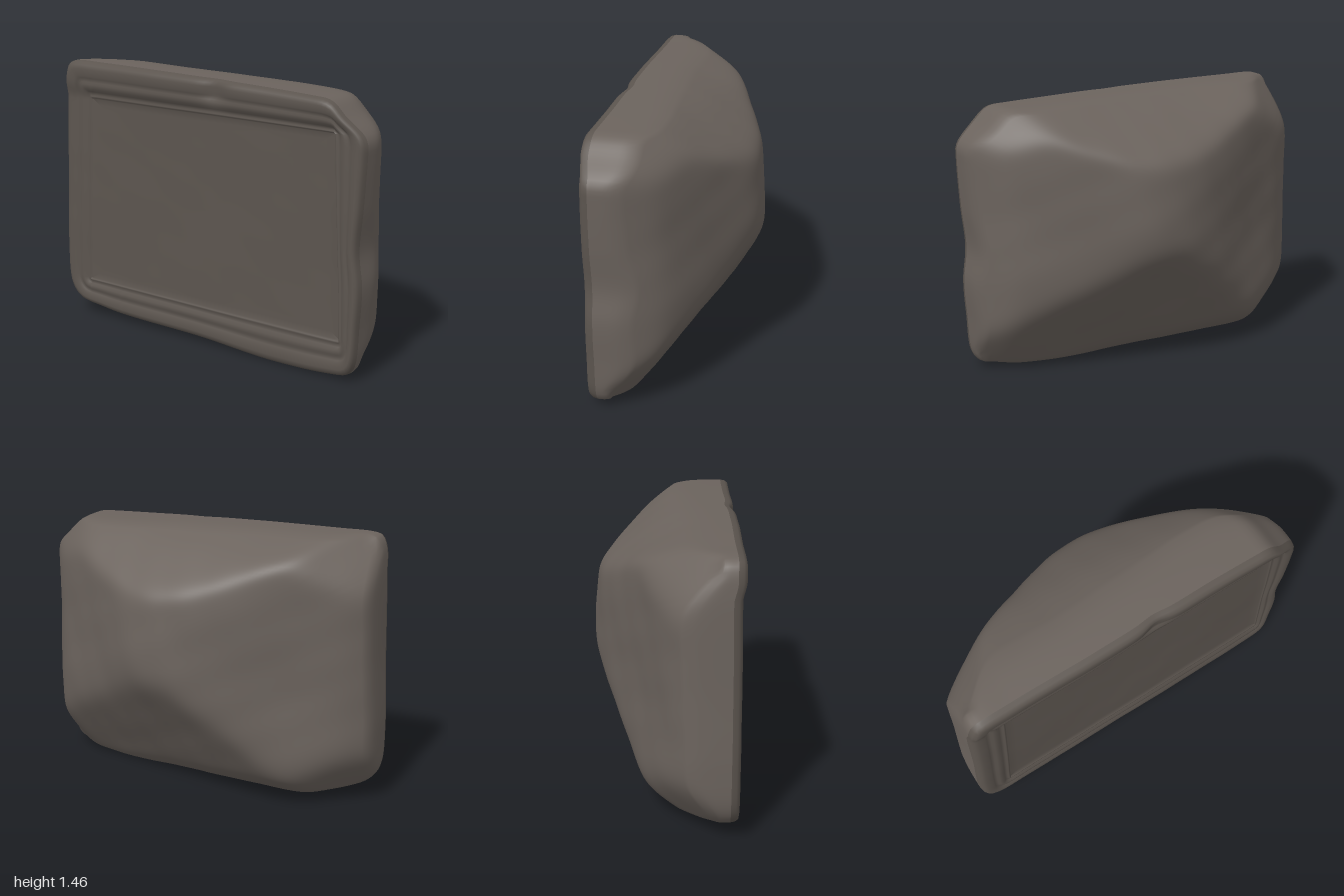
import * as THREE from 'three';

const N = 240; // points around the slab
const CX = 0.02, CY = 0.75;
const { clamp, lerp, smoothstep } = THREE.MathUtils;

// Worn outline of the slab, counter-clockwise from the lower left
const OUTLINE = [
  [-0.9, 0.08], [-0.75, 0.055], [-0.6, 0.04], [0, 0.03], [0.45, 0.005], [0.8, 0.02], [0.91, 0.04],
  [0.945, 0.09], [0.965, 0.3], [0.975, 0.5], [0.955, 0.68], [0.975, 0.9], [0.99, 1.15], [0.99, 1.22],
  [0.97, 1.262], [0.88, 1.345], [0.81, 1.41], [0.77, 1.425], [0.7, 1.43], [0.2, 1.45], [-0.3, 1.462],
  [-0.7, 1.467], [-0.88, 1.467], [-0.93, 1.455], [-0.955, 1.41], [-0.97, 1.3], [-0.985, 0.8],
  [-1, 0.4], [-0.99, 0.2], [-0.96, 0.13],
];

// Frame moulding: [fraction from outer edge to panel, height]
const MOULDING = [
  [0, -0.045], [0.03, -0.02], [0.1, -0.004], [0.2, 0], [0.38, 0], [0.44, -0.01], [0.54, -0.011],
  [0.6, -0.003], [0.72, -0.002], [0.8, -0.013], [0.88, -0.014], [0.92, -0.008], [0.96, -0.009], [1, -0.017],
];

// Uneven, hand-worked surface
const rough = (x, y) =>
  0.009 * Math.sin(4.3 * x + 1.3 * y + 0.6) * Math.sin(5.1 * y - 1.2 * x) +
  0.004 * Math.sin(9 * x - 4 * y) * Math.sin(8 * y + 3 * x + 1) +
  0.0015 * Math.sin(21 * x + 8 * y) * Math.sin(19 * y - 9 * x);

// Height of the front plane, with the thicker top lip and the chip in it
function frontZ(x, y, h) {
  const lip = 0.02 * smoothstep(y, 1.26, 1.36);
  const chip = 0.025 * Math.exp(-(((x - 0.1) / 0.07) ** 2) - ((y - 1.4) / 0.06) ** 2);
  return 0.352 + h + lip - chip + 0.3 * rough(x, y);
}

// Blunt pyramid: soft maximum of the sloping faces
function backZ(x, y) {
  const faces = [
    -0.395 - 0.46 * x,                                   // slope towards -x
    -1.2 * (x + 0.9),                                    // bevel at -x
    -0.48 + 0.57 * x,                                    // slope towards +x
    0.06 + 1.6 * (x - 0.9),                              // bevel at +x
    -0.375 + 0.09 * (y - 0.7),                           // blunt apex
    0.08 - 0.68 * y + 0.15 * x,                          // lower slope
    0.16 - 2 * y,                                        // bottom bevel
    -0.33 + 1.3 * (y - 1.17) + 0.08 * x,                 // upper slope
    -0.03 + 2.5 * (y - 1.4),                             // top bevel
    0.15 + (Math.abs(x) - 0.88) + (Math.abs(y - CY) - 0.6), // four worn corners
  ];
  const sum = faces.reduce((s, f) => s + Math.exp(27 * f), 0);
  return Math.min(Math.log(sum) / 27 - 0.022 + rough(x, y), 0.24);
}

// Skin joining closed rings of N points
function skin(rings, flip, material, name) {
  const index = [];
  for (let r = 0; r < rings.length - 1; r++) {
    for (let i = 0; i < N; i++) {
      const j = (i + 1) % N;
      const a = r * N + i, b = r * N + j, c = b + N, d = a + N;
      if (flip) index.push(a, c, b, a, d, c);
      else index.push(a, b, c, a, c, d);
    }
  }
  const geometry = new THREE.BufferGeometry();
  geometry.setAttribute('position', new THREE.Float32BufferAttribute(rings.flat(2), 3));
  geometry.setIndex(index);
  geometry.computeVertexNormals();
  const mesh = new THREE.Mesh(geometry, material);
  mesh.name = name;
  return mesh;
}

export function createModel() {
  const group = new THREE.Group();
  group.name = 'carvedStoneSlab';
  const stone = new THREE.MeshStandardMaterial({ color: 0x5c554f });
  const backStone = new THREE.MeshStandardMaterial({ color: 0x6b635d });

  const curve = new THREE.CatmullRomCurve3(
    OUTLINE.map(([x, y]) => new THREE.Vector3(x, y, 0)), true, 'centripetal');
  const outer = curve.getSpacedPoints(N).slice(0, N).map((p) => [p.x, p.y]);

  // Slightly tapered rectangle of the sunken panel
  const panel = outer.map(([x, y]) => {
    const py = clamp(y, 0.22, 1.26);
    const half = lerp(0.84, 0.795, (py - 0.22) / 1.04);
    return [clamp(x, 0.025 - half, 0.025 + half), py];
  });

  // Front: moulded frame, then the flat panel
  const front = MOULDING.map(([t, h]) => outer.map(([x, y], i) => {
    const px = lerp(x, panel[i][0], t), py = lerp(y, panel[i][1], t);
    return [px, py, frontZ(px, py, h)];
  }));
  for (let k = 1; k <= 16; k++) {
    const s = 1 - k / 16;
    front.push(panel.map(([x, y]) => {
      const px = CX + (x - CX) * s, py = CY + (y - CY) * s;
      return [px, py, frontZ(px, py, -0.018)];
    }));
  }
  group.add(skin(front, false, stone, 'framedFront'));

  // Side walls, then the rough pyramidal back
  const back = [];
  for (let k = 0; k < 8; k++) {
    back.push(outer.map(([x, y], i) => {
      const t = k / 8;
      const s = 1 - 0.012 * t ** 4;
      const px = CX + (x - CX) * s, py = CY + (y - CY) * s;
      return [px, Math.max(0, py), lerp(front[0][i][2], backZ(x, y), t)];
    }));
  }
  for (let k = 0; k <= 48; k++) {
    const s = 0.982 * (1 - k / 48);
    back.push(outer.map(([x, y]) => {
      const px = CX + (x - CX) * s, py = CY + (y - CY) * s;
      return [px, py, backZ(px, py)];
    }));
  }
  group.add(skin(back, true, backStone, 'roughBack'));
  return group;
}
